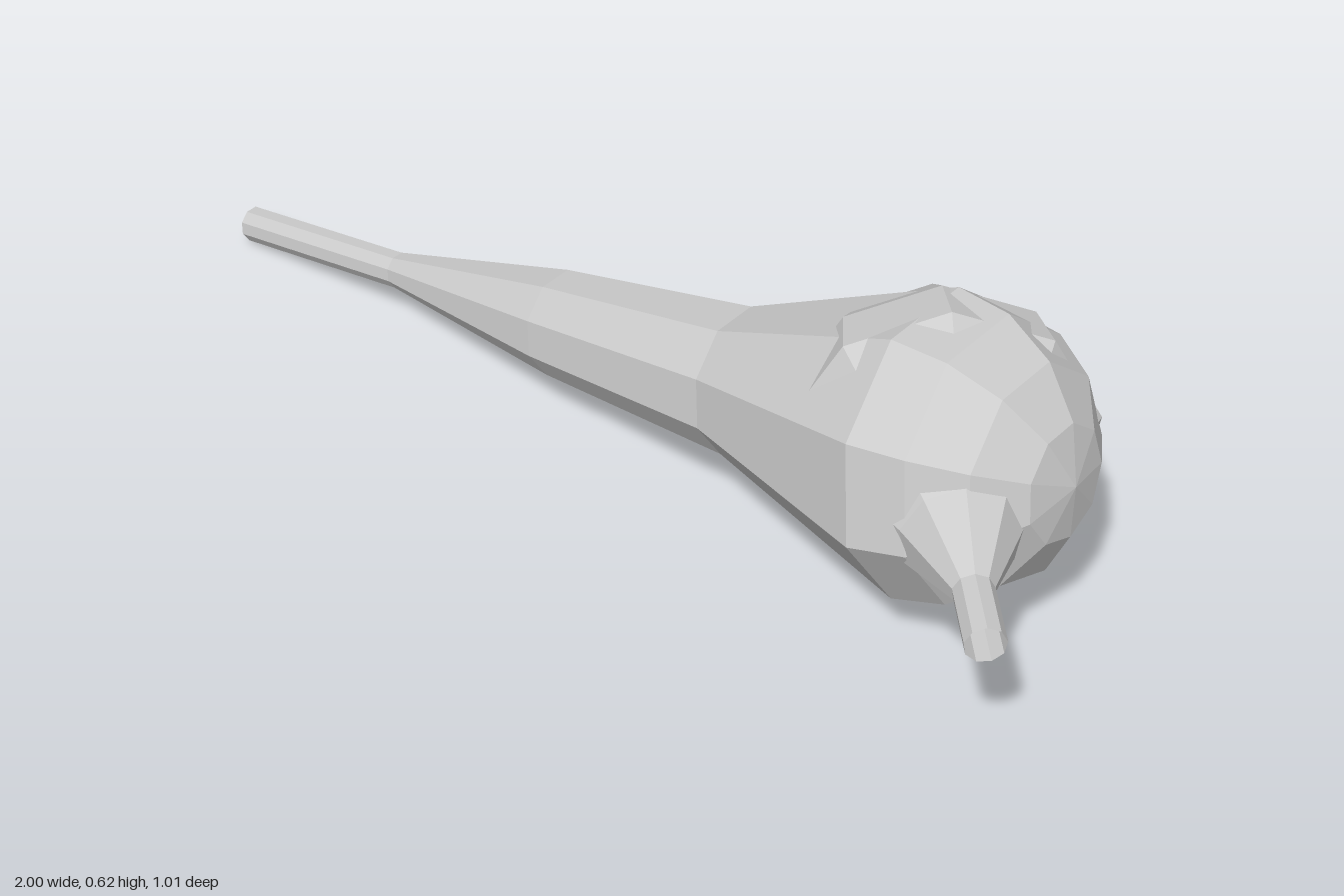
import * as THREE from 'three';

const SIDES = 9, R = 0.285;
const CENTER = new THREE.Vector3(0.713, 0.341, 0.02);

// Open tube flaring into a half-sphere cap; stations are [distance from bulb centre, radius]
function flaredTube(name, tip, stations, startDegrees, material) {
  const profile = [];
  for (let i = 0; i <= 4; i++) {
    const a = (i / 4) * Math.PI / 2;
    profile.push(new THREE.Vector2(R * Math.sin(a), -R * Math.cos(a)));
  }
  for (const [distance, radius] of stations) profile.push(new THREE.Vector2(radius, distance));
  const geometry = new THREE.LatheGeometry(profile, SIDES, THREE.MathUtils.degToRad(startDegrees));

  // Local y runs out along the tube, local z stays as upright as possible
  const yAxis = tip.clone().sub(CENTER).normalize();
  const xAxis = new THREE.Vector3().crossVectors(yAxis, new THREE.Vector3(0, 1, 0)).normalize();
  const zAxis = new THREE.Vector3().crossVectors(xAxis, yAxis);
  geometry.applyMatrix4(new THREE.Matrix4().makeBasis(xAxis, yAxis, zAxis).setPosition(CENTER));

  const mesh = new THREE.Mesh(geometry, material);
  mesh.name = name;
  return mesh;
}

export function createModel() {
  const group = new THREE.Group();
  group.name = 'bulbWithTubes';
  const material = new THREE.MeshStandardMaterial({
    color: 0xcccccc, flatShading: true, side: THREE.DoubleSide,
  });

  // Long tapering neck with the main rounded bulb end
  group.add(flaredTube('longNeckAndBulb', new THREE.Vector3(-0.99, 0.038, -0.47),
    [[0.449, 0.142], [0.903, 0.106], [1.355, 0.037], [1.795, 0.037]], 17.5, material));

  // Short spout at the front, whose cap rounds off the back of the bulb
  group.add(flaredTube('shortSpoutAndBackCap', new THREE.Vector3(0.963, 0.329, 0.483),
    [[0.255, 0.108], [0.394, 0.037], [0.528, 0.037]], 0, material));

  return group;
}
